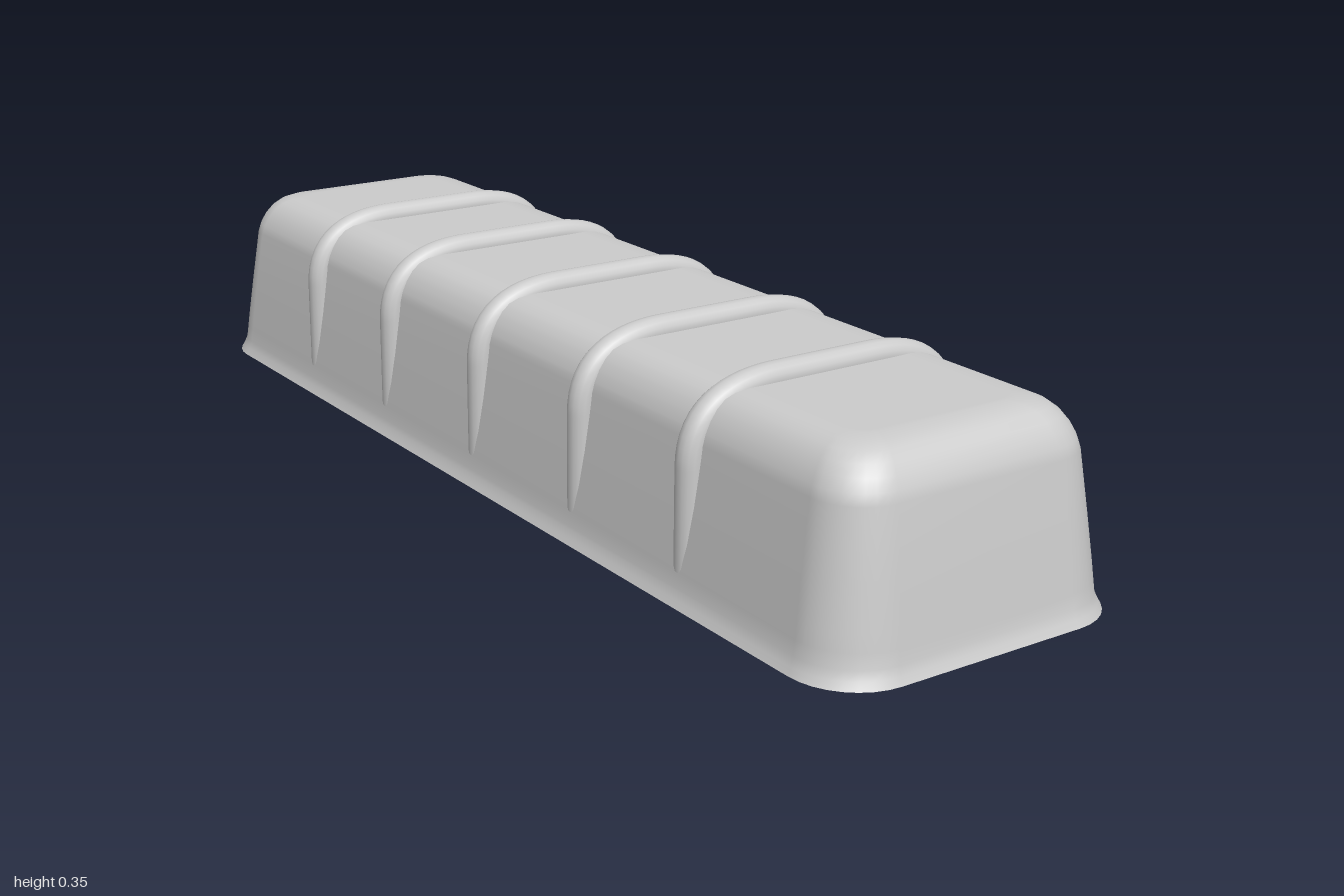
import * as THREE from 'three';

const material = new THREE.MeshStandardMaterial({ color: 0xcccccc });
const CORNER_STEPS = 8;

// Rounded rectangle in the xz plane at height y
function ring(halfX, halfZ, radius, y) {
  const points = [];
  for (let q = 0; q < 4; q++) {
    const sx = q === 0 || q === 3 ? 1 : -1;
    const sz = q < 2 ? 1 : -1;
    for (let i = 0; i <= CORNER_STEPS; i++) {
      const a = (q + i / CORNER_STEPS) * Math.PI / 2;
      points.push([sx * (halfX - radius) + radius * Math.cos(a), y,
        sz * (halfZ - radius) + radius * Math.sin(a)]);
    }
  }
  return points;
}

// Skin over stacked rings, with a closed top
function loft(rings) {
  const n = rings[0].length;
  const positions = rings.flat(2);
  const index = [];
  for (let r = 0; r < rings.length - 1; r++) {
    for (let j = 0; j < n; j++) {
      const k = (j + 1) % n;
      const a = r * n + j, b = r * n + k, c = a + n, d = b + n;
      index.push(a, c, b, b, c, d);
    }
  }
  const top = (rings.length - 1) * n;
  const centre = rings.length * n;
  positions.push(0, rings[rings.length - 1][0][1], 0);
  for (let j = 0; j < n; j++) index.push(centre, top + (j + 1) % n, top + j);
  const geometry = new THREE.BufferGeometry();
  geometry.setAttribute('position', new THREE.Float32BufferAttribute(positions, 3));
  geometry.setIndex(index);
  geometry.computeVertexNormals();
  return geometry;
}

// Flat underside
function underside(points) {
  const shape = new THREE.Shape(points.map(([x, , z]) => new THREE.Vector2(x, z)));
  return new THREE.ShapeGeometry(shape).rotateX(Math.PI / 2);
}

export function createModel() {
  const model = new THREE.Group();
  const add = (name, geometry) => {
    const mesh = new THREE.Mesh(geometry, material);
    mesh.name = name;
    model.add(mesh);
    return mesh;
  };

  // Body: flared foot, leaning walls, rounded shoulder; [inset, height]
  const profile = [
    [0, 0], [0.006, 0.012], [0.011, 0.026], [0.014, 0.05], [0.017, 0.075],
    [0.027, 0.15], [0.041, 0.25], [0.046, 0.267], [0.055, 0.285], [0.067, 0.301],
    [0.082, 0.313], [0.1, 0.32], [0.125, 0.323], [0.135, 0.323],
  ];
  const rings = profile.map(([inset, y]) =>
    ring(0.28 - inset, 1 - inset, Math.max(0.11 - inset * 0.6, 0.03), y));
  add('body', loft(rings));
  add('underside', underside(rings[0]));

  // Ribs: round bars arched over the body, sinking into the walls low down
  const v = (x, y) => new THREE.Vector3(x, y, 0);
  const arch = new THREE.CurvePath();
  arch.add(new THREE.LineCurve3(v(0.243, 0.05), v(0.243, 0.21)));
  arch.add(new THREE.QuadraticBezierCurve3(v(0.243, 0.21), v(0.243, 0.324), v(0.09, 0.324)));
  arch.add(new THREE.LineCurve3(v(0.09, 0.324), v(-0.09, 0.324)));
  arch.add(new THREE.QuadraticBezierCurve3(v(-0.09, 0.324), v(-0.243, 0.324), v(-0.243, 0.21)));
  arch.add(new THREE.LineCurve3(v(-0.243, 0.21), v(-0.243, 0.05)));
  const ribGeometry = new THREE.TubeGeometry(arch, 64, 0.024, 16);
  [-0.605, -0.313, 0, 0.313, 0.605].forEach((z, i) => {
    add('rib' + (i + 1), ribGeometry).position.z = z;
  });

  return model;
}
